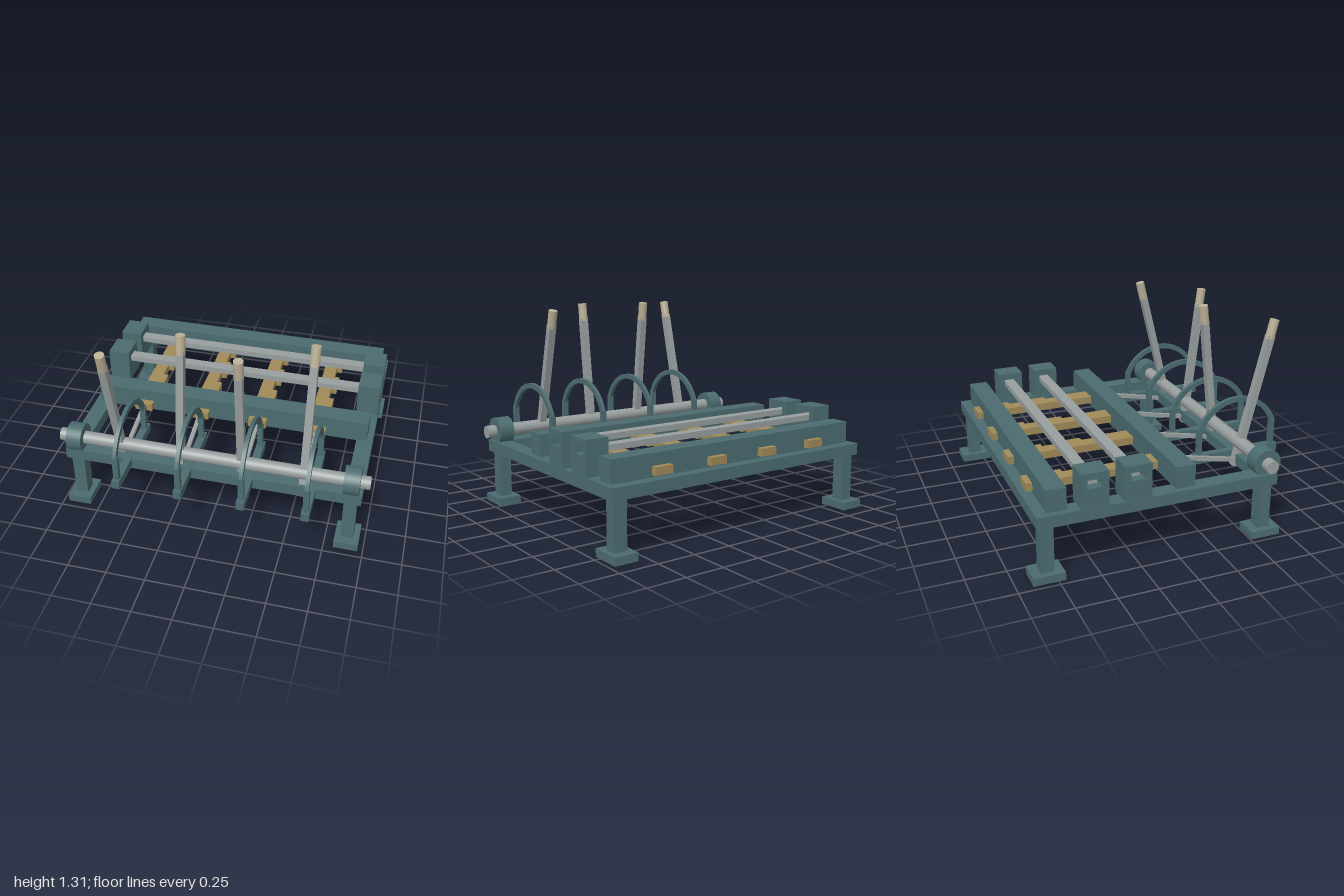
import * as THREE from 'three';

const paint = (color) => new THREE.MeshStandardMaterial({ color });
const teal = paint(0x4c6c70);
const steel = paint(0x989e9e);
const brass = paint(0xa08a58);
const ivory = paint(0xbab096);

const AXIS_Y = 0.49, AXIS_Z = 0.605;

export function createModel() {
  const root = new THREE.Group();

  const add = (name, geometry, material, parent = root) => {
    const mesh = new THREE.Mesh(geometry, material);
    mesh.name = name;
    parent.add(mesh);
    return mesh;
  };
  // Box given by its extents on each axis
  const box = (name, [x0, x1], [y0, y1], [z0, z1], material, parent) => {
    const mesh = add(name, new THREE.BoxGeometry(x1 - x0, y1 - y0, z1 - z0), material, parent);
    mesh.position.set((x0 + x1) / 2, (y0 + y1) / 2, (z0 + z1) / 2);
    return mesh;
  };
  // Shape in (z, y) extruded along x, centred on x
  const extrudeX = (name, shape, width, x, material, parent) => {
    const g = new THREE.ExtrudeGeometry(shape, { depth: width, bevelEnabled: false, curveSegments: 28 });
    g.translate(0, 0, -width / 2).rotateY(-Math.PI / 2);
    const mesh = add(name, g, material, parent);
    mesh.position.x = x;
    return mesh;
  };
  const rect = (target, z0, z1, y0, y1) => {
    target.moveTo(z0, y0).lineTo(z1, y0).lineTo(z1, y1).lineTo(z0, y1).closePath();
    return target;
  };

  // Base frame
  box('frontRail', [-0.95, 0.95], [0.35, 0.424], [0.565, 0.668], teal);
  box('backRail', [-0.95, 0.95], [0.35, 0.424], [-0.868, -0.77], teal);
  for (const s of [-1, 1]) {
    const c = s * 0.89;
    box('sideRail', [s * 0.905 - 0.053, s * 0.905 + 0.053], [0.35, 0.425], [-0.868, 0.668], teal);
    for (const z of [0.605, -0.805]) {
      box('leg', [c - 0.041, c + 0.041], [0.04, 0.36], [z - 0.041, z + 0.041], teal);
      box('footPlate', [c - 0.077, c + 0.077], [0, 0.05], [z - 0.098, z + 0.098], teal);
    }
    // Guide blocks with a window for the cross bars
    for (const z of [-0.255, -0.52]) {
      const block = rect(new THREE.Shape(), z - 0.085, z + 0.085, 0.42, 0.643);
      block.holes.push(rect(new THREE.Path(), z - 0.046, z + 0.046, 0.548, 0.6));
      extrudeX('guideBlock', block, 0.145, s * 0.884, teal);
    }
    // Shaft bearing
    const bearing = add('bearing', new THREE.CylinderGeometry(0.09, 0.09, 0.1, 32), teal);
    bearing.rotation.z = Math.PI / 2;
    bearing.position.set(c, AXIS_Y, AXIS_Z);
  }

  // Cross beams and locking bars
  box('middleBeam', [-0.92, 0.92], [0.42, 0.565], [0.002, 0.125], teal);
  box('backBeam', [-0.92, 0.92], [0.42, 0.565], [-0.8, -0.678], teal);
  for (const z of [-0.262, -0.523]) {
    box('lockingBar', [-0.9, 0.9], [0.548, 0.585], [z - 0.035, z + 0.035], steel);
  }

  // Main shaft
  const shaft = add('shaft', new THREE.CylinderGeometry(0.042, 0.042, 2, 32), steel);
  shaft.rotation.z = Math.PI / 2;
  shaft.position.set(0, AXIS_Y, AXIS_Z);

  // Notched slide outline, seen from above with y = -z
  const slide = new THREE.Shape();
  const outline = [
    [-0.06, -0.175], [0.06, -0.175], [0.06, 0.2], [0.025, 0.2], [0.025, 0.325], [0.06, 0.325],
    [0.06, 0.46], [0.025, 0.46], [0.025, 0.59], [0.06, 0.59], [0.06, 0.838], [-0.06, 0.838],
  ];
  slide.setFromPoints(outline.map(([x, y]) => new THREE.Vector2(x, y)));

  // Arch: arc about the shaft axis
  const R = 0.296, r = 0.262, a = 0.36;
  const arch = new THREE.Shape();
  arch.absarc(AXIS_Z, AXIS_Y, R, a, Math.PI - a, false);
  arch.absarc(AXIS_Z, AXIS_Y, r, Math.PI - a, a, true);
  arch.closePath();

  // One lever unit per station
  [[-0.595, 14], [-0.2, -6.5], [0.195, 6.5], [0.59, -14]].forEach(([x, tilt], i) => {
    const unit = new THREE.Group();
    unit.name = 'leverUnit' + (i + 1);
    unit.position.x = x;
    root.add(unit);

    const lever = new THREE.Group();
    lever.name = 'lever';
    lever.position.set(0, AXIS_Y, AXIS_Z);
    lever.rotation.x = THREE.MathUtils.degToRad(tilt);
    unit.add(lever);
    box('leverBar', [-0.024, 0.024], [-0.155, 0.72], [-0.023, 0.023], steel, lever);
    const grip = add('grip', new THREE.CylinderGeometry(0.03, 0.03, 0.125, 20), ivory, lever);
    grip.position.y = 0.76;

    // Pull rod from lever foot to slide
    const z0 = 0.15, y0 = 0.463, z1 = 0.6, y1 = 0.372;
    const rod = add('pullRod', new THREE.BoxGeometry(0.026, 0.026, Math.hypot(z1 - z0, y1 - y0)), steel, unit);
    rod.position.set(0, (y0 + y1) / 2, (z0 + z1) / 2);
    rod.rotation.x = Math.atan2(y0 - y1, z1 - z0);

    // Notched slide
    const slideGeo = new THREE.ExtrudeGeometry(slide, { depth: 0.05, bevelEnabled: false });
    slideGeo.rotateX(-Math.PI / 2).translate(0, 0.44, 0);
    add('notchedSlide', slideGeo, brass, unit);

    // Quadrant arch on its foot bar
    const ax = 0.06;
    extrudeX('quadrantArch', arch, 0.024, ax, teal, unit);
    for (const s of [-1, 1]) {
      const z = AXIS_Z - 0.003 + s * 0.262;
      box('archPost', [ax - 0.018, ax + 0.018], [0.42, 0.597], [z - 0.015, z + 0.015], teal, unit);
    }
    box('archFootBar', [ax - 0.025, ax + 0.025], [0.37, 0.427], [0.29, 0.9], teal, unit);
  });

  return root;
}
